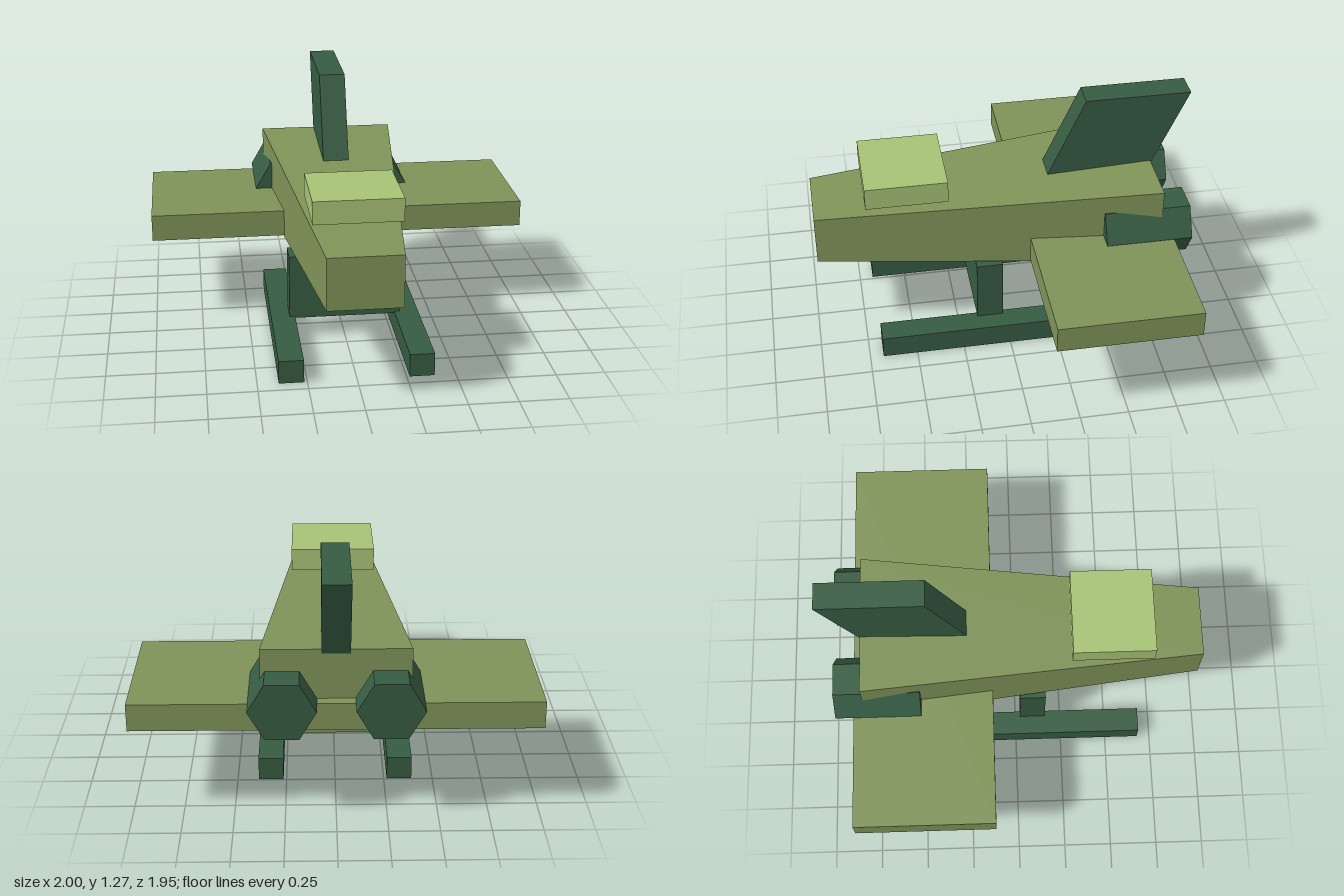
import * as THREE from 'three';

const olive = new THREE.MeshStandardMaterial({ color: 0x7f9358 });
olive.name = 'olive';
const darkGreen = new THREE.MeshStandardMaterial({ color: 0x365b42 });
darkGreen.name = 'darkGreen';
const lightGreen = new THREE.MeshStandardMaterial({ color: 0xa7c276 });
lightGreen.name = 'lightGreen';

// Box given by its [min, max] range on each axis
function box([x0, x1], [y0, y1], [z0, z1]) {
  return new THREE.BoxGeometry(x1 - x0, y1 - y0, z1 - z0)
    .translate((x0 + x1) / 2, (y0 + y1) / 2, (z0 + z1) / 2);
}

// Moves every vertex by a rule, then gives each face its own flat normal
function reshape(geometry, rule = () => {}) {
  const flat = geometry.toNonIndexed();
  const pos = flat.attributes.position;
  const v = new THREE.Vector3();
  for (let i = 0; i < pos.count; i++) {
    v.fromBufferAttribute(pos, i);
    rule(v);
    pos.setXYZ(i, v.x, v.y, v.z);
  }
  flat.computeVertexNormals();
  return flat;
}

export function createModel() {
  const model = new THREE.Group();
  model.name = 'floatPlane';

  const add = (name, geometry, material) => {
    const mesh = new THREE.Mesh(geometry, material);
    mesh.name = name;
    model.add(mesh);
  };

  // Fuselage: a box that narrows towards the nose
  const fuselage = reshape(box([-0.363, 0.363], [0.43, 0.872], [-0.791, 0.975]), (v) => {
    if (v.z > 0) {
      v.x = Math.sign(v.x) * 0.184;
      v.y = v.y > 0.65 ? 0.784 : 0.517;
    }
  });
  add('fuselage', fuselage, olive);

  // Wing slab running straight through the body
  add('wing', box([-1, 1], [0.474, 0.614], [-0.847, -0.119]), olive);

  // Canopy block above the nose
  add('canopy', box([-0.222, 0.222], [0.848, 0.966], [0.293, 0.714]), lightGreen);

  // Tail fin, swept back towards the top
  const fin = reshape(box([-0.069, 0.069], [0.843, 1.273], [-0.788, -0.245]), (v) => {
    if (v.y > 1) v.z -= 0.19;
  });
  add('tailFin', fin, darkGreen);

  // Cross strut carrying the skids
  add('skidStrut', box([-0.294, 0.294], [0.112, 0.46], [0.025, 0.162]), darkGreen);

  // Skids and six-sided engines, one per side
  for (const [side, s] of [['left', 1], ['right', -1]]) {
    const skid = box([-0.0635, 0.0635], [0, 0.121], [-0.492, 0.68]).translate(s * 0.329, 0, 0);
    add(side + 'Skid', skid, darkGreen);

    const engine = new THREE.CylinderGeometry(0.165, 0.165, 0.447, 6)
      .rotateY(Math.PI / 6)
      .rotateX(Math.PI / 2)
      .translate(s * 0.258, 0.615, -0.7175);
    add(side + 'Engine', reshape(engine), darkGreen);
  }

  return model;
}
